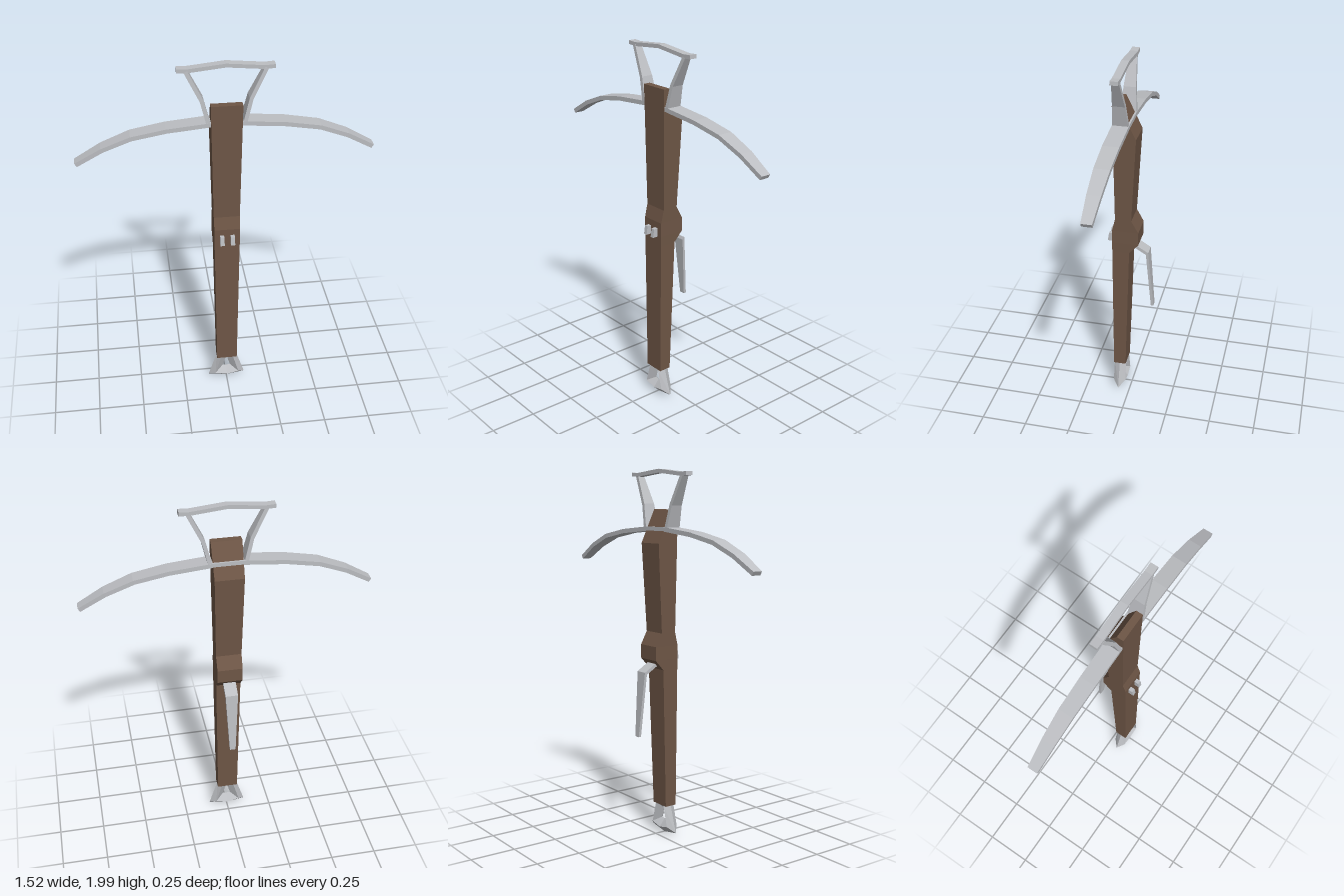
import * as THREE from 'three';

const wood = new THREE.MeshStandardMaterial({ color: 0x6e5646 });
wood.name = 'brown wood';
const steel = new THREE.MeshStandardMaterial({ color: 0xbcbec2 });
steel.name = 'pale steel';

// Skins a row of matching rings; flat faces, with end caps or joined into a loop
function loft(name, material, rings, loop = false) {
  const pos = [];
  const tri = (a, b, c) => pos.push(...a, ...b, ...c);
  const n = rings[0].length;
  const last = loop ? rings.length : rings.length - 1;
  for (let r = 0; r < last; r++) {
    const a = rings[r], b = rings[(r + 1) % rings.length];
    for (let i = 0; i < n; i++) {
      const j = (i + 1) % n;
      tri(a[i], a[j], b[j]);
      tri(a[i], b[j], b[i]);
    }
  }
  if (!loop) {
    const s = rings[0], e = rings[rings.length - 1];
    for (let i = 1; i < n - 1; i++) {
      tri(s[0], s[i + 1], s[i]);
      tri(e[0], e[i], e[i + 1]);
    }
  }
  const geo = new THREE.BufferGeometry();
  geo.setAttribute('position', new THREE.Float32BufferAttribute(pos, 3));
  geo.computeVertexNormals();
  const mesh = new THREE.Mesh(geo, material);
  mesh.name = name;
  return mesh;
}

// Upright block from rows of [y, half width, front z, back z]
const column = (name, material, rows) => loft(name, material,
  rows.map(([y, w, f, b]) => [[w, y, f], [w, y, b], [-w, y, b], [-w, y, f]]));

// Flat metal strip along rows of [x, y, front z, back z]
function strip(name, rows, thick) {
  const rings = rows.map(([x, y, f, b], i) => {
    const p = rows[Math.max(i - 1, 0)], q = rows[Math.min(i + 1, rows.length - 1)];
    const t = new THREE.Vector2(q[0] - p[0], q[1] - p[1]).setLength(thick / 2);
    const lo = [x + t.y, y - t.x], hi = [x - t.y, y + t.x];
    return [[...lo, b], [...hi, b], [...hi, f], [...lo, f]];
  });
  return loft(name, steel, rings);
}

const flip = (rows) => rows.map(([x, ...rest]) => [-x, ...rest]).reverse();

export function createModel() {
  const model = new THREE.Group();
  model.name = 'crossbow';

  // Wooden stock
  model.add(column('stock', wood, [
    [0.17, 0.057, 0.095, 0.027],
    [0.94, 0.067, 0.095, 0.002],
    [0.995, 0.068, 0.095, -0.048],
    [1.07, 0.068, 0.095, -0.048],
    [1.14, 0.069, 0.078, -0.01],
    [1.615, 0.077, 0.083, -0.037],
    [1.79, 0.08, 0.085, 0.048],
  ]));

  // Curved bow running through the stock
  const limb = [
    [0.08, 1.688, 0.08, -0.006],
    [0.3, 1.668, 0.079, -0.006],
    [0.475, 1.636, 0.076, -0.005],
    [0.622, 1.578, 0.071, 0.001],
    [0.755, 1.502, 0.064, 0.01],
  ];
  model.add(strip('bow', [...flip(limb), ...limb], 0.023));

  // Stirrup: two bent arms and a cross bar
  const arm = [
    [0.09, 1.685, 0.08, -0.005],
    [0.122, 1.815, 0.071, 0.006],
    [0.197, 1.968, 0.056, 0.018],
  ];
  model.add(strip('stirrupArmLeft', arm, 0.02));
  model.add(strip('stirrupArmRight', flip(arm), 0.02));
  const bar = [
    [0, 1.99, 0.055, 0.014],
    [0.19, 1.971, 0.055, 0.014],
    [0.24, 1.974, 0.055, 0.014],
  ];
  model.add(strip('stirrupBar', [...flip(bar.slice(1)), ...bar], 0.02));

  // Pair of string catches on the front
  for (const side of [1, -1]) {
    const nut = column(side > 0 ? 'catchLeft' : 'catchRight', steel, [
      [0.988, 0.011, 0.126, 0.09],
      [1.035, 0.011, 0.119, 0.09],
    ]);
    nut.position.x = side * 0.028;
    model.add(nut);
  }

  // Trigger lever: rows of [half width, outer y, outer z, inner y, inner z]
  const lever = [
    [0.034, 0.985, -0.01, 0.967, -0.005],
    [0.034, 0.932, -0.096, 0.92, -0.083],
    [0.016, 0.58, -0.125, 0.579, -0.11],
  ];
  model.add(loft('trigger', steel, lever.map(([w, oy, oz, iy, iz]) =>
    [[w, oy, oz], [w, iy, iz], [-w, iy, iz], [-w, oy, oz]])));

  // Bevelled foot with a triangular hole: outer ridge, front edge, inner ridge, back edge
  const footRing = (z, top, corner, bottomY) => [
    [-top[0], top[1], z], [-corner[0], corner[1], z], [0, bottomY, z],
    [corner[0], corner[1], z], [top[0], top[1], z],
  ];
  const edge = [[0.035, 0.172], [0.067, 0.055], 0.04];
  model.add(loft('foot', steel, [
    footRing(0.061, [0.057, 0.172], [0.104, 0.024], 0.006),
    footRing(0.095, ...edge),
    footRing(0.061, [0.004, 0.145], [0.021, 0.085], 0.082),
    footRing(0.027, ...edge),
  ], true));

  return model;
}
